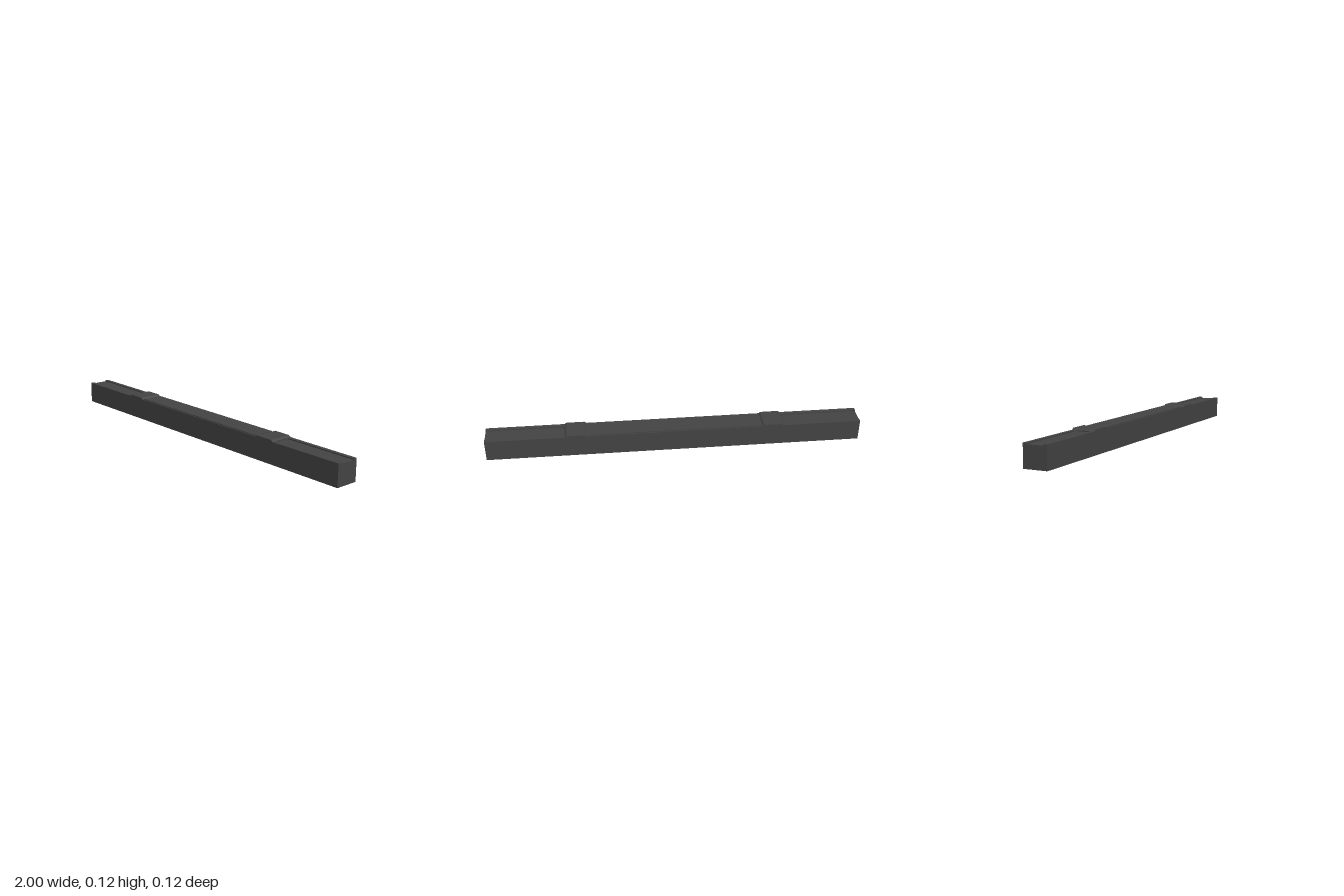
import * as THREE from 'three';

const HALF_Z = 0.0625, FLOOR = 0.111, DECK = 0.117, SEAT = 0.125;

export function createModel() {
  const group = new THREE.Group();
  const material = new THREE.MeshStandardMaterial({ color: 0x444444, flatShading: true });
  const add = (name, geometry) => {
    const mesh = new THREE.Mesh(geometry, material);
    mesh.name = name;
    group.add(mesh);
    return mesh;
  };

  // Main beam, up to the floor of the end grooves
  add('beam', new THREE.BoxGeometry(2, FLOOR, 2 * HALF_Z).translate(0, FLOOR / 2, 0));

  // Thin deck with a round-cornered groove open at each end
  const g = 0.042, r = 0.025, inner = 0.585;
  const s = new THREE.Shape();
  s.moveTo(-1, -HALF_Z);
  s.lineTo(1, -HALF_Z);
  s.lineTo(1, -g);
  s.lineTo(inner + r, -g);
  s.quadraticCurveTo(inner, -g, inner, -g + r);
  s.lineTo(inner, g - r);
  s.quadraticCurveTo(inner, g, inner + r, g);
  s.lineTo(1, g);
  s.lineTo(1, HALF_Z);
  s.lineTo(-1, HALF_Z);
  s.lineTo(-1, g);
  s.lineTo(-inner - r, g);
  s.quadraticCurveTo(-inner, g, -inner, g - r);
  s.lineTo(-inner, -g + r);
  s.quadraticCurveTo(-inner, -g, -inner - r, -g);
  s.lineTo(-1, -g);
  s.closePath();
  const deck = new THREE.ExtrudeGeometry(s, { depth: DECK - FLOOR, bevelEnabled: false, curveSegments: 6 });
  add('deck', deck.rotateX(-Math.PI / 2).translate(0, FLOOR, 0));

  // Slightly raised middle panel
  add('middlePanel', new THREE.BoxGeometry(0.92, 0.004, 0.112).translate(0, 0.119, 0));

  // Raised seats with short sloping sides
  for (const side of [-1, 1]) {
    const p = new THREE.Shape([[-0.058, DECK], [0.058, DECK], [0.048, SEAT], [-0.048, SEAT]]
      .map(([x, y]) => new THREE.Vector2(x, y)));
    const seat = new THREE.ExtrudeGeometry(p, { depth: 2 * HALF_Z, bevelEnabled: false });
    add(side > 0 ? 'leftSeat' : 'rightSeat', seat.translate(side * 0.525, 0, -HALF_Z));
  }
  return group;
}
